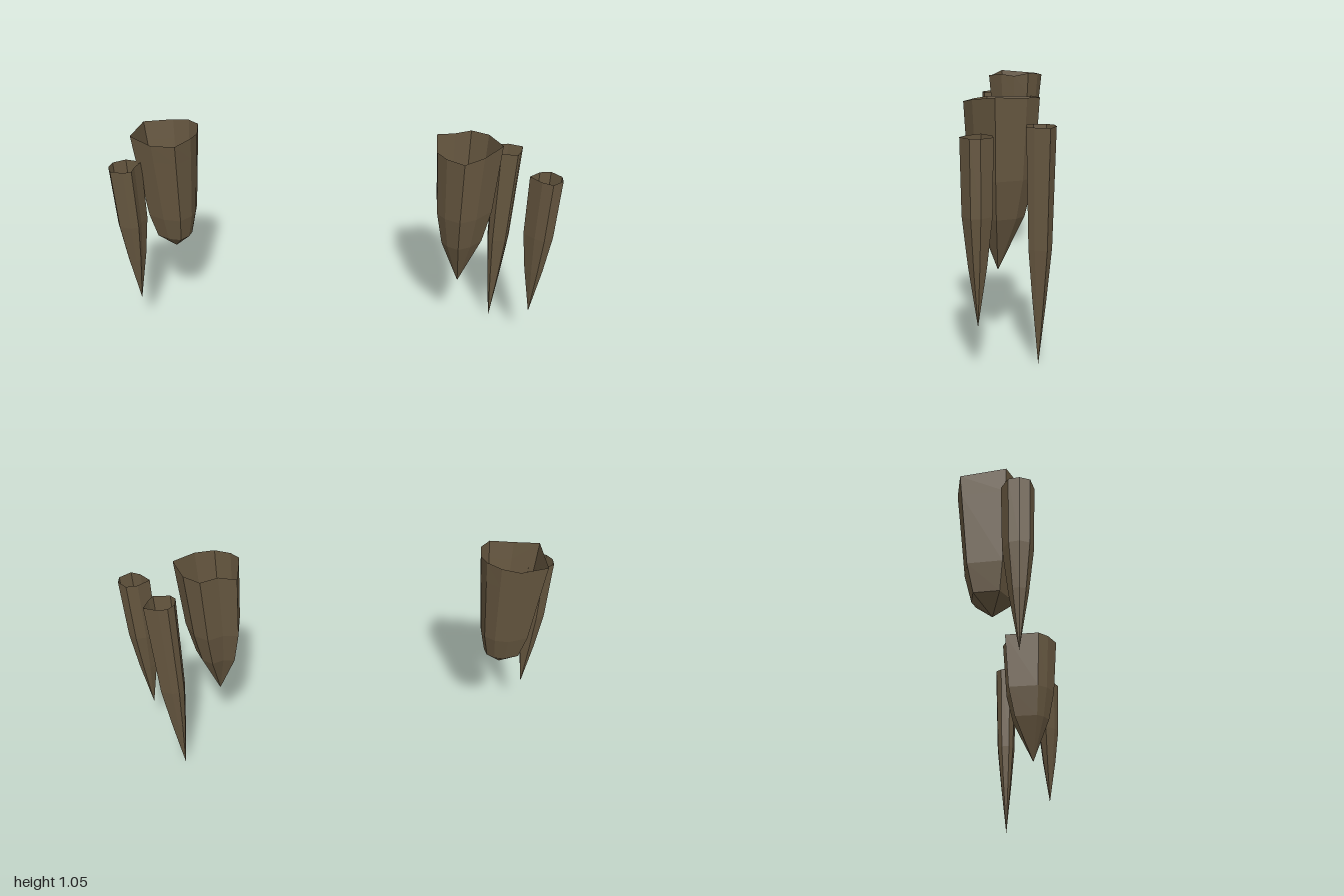
import * as THREE from 'three';

const material = new THREE.MeshStandardMaterial({
  color: 0x65563f, roughness: 1, flatShading: true, side: THREE.DoubleSide,
});

// Hollow spike: a rim outline [x, z, y] shrinks ring by ring [y, scale] towards the tip.
function spike(name, tip, rim, rings) {
  const [tx, ty, tz] = tip;
  const n = rim.length;
  const pos = rim.map(([x, z, y]) => [x, y, z]).flat();
  for (const [y, s] of rings) {
    for (const [x, z] of rim) pos.push(tx + (x - tx) * s, y, tz + (z - tz) * s);
  }
  pos.push(tx, ty, tz);
  const tipIndex = n * (rings.length + 1);
  const index = [];
  for (let r = 0; r <= rings.length; r++) {
    for (let i = 0; i < n; i++) {
      const a = r * n + i, b = r * n + (i + 1) % n;
      if (r === rings.length) index.push(a, b, tipIndex);
      else index.push(a, b, a + n, b, b + n, a + n);
    }
  }
  const geometry = new THREE.BufferGeometry();
  geometry.setAttribute('position', new THREE.Float32BufferAttribute(pos, 3));
  geometry.setIndex(index);
  geometry.computeVertexNormals();
  const mesh = new THREE.Mesh(geometry, material);
  mesh.name = name;
  return mesh;
}

// Level rim at height y from [x, z] offsets around a centre.
const levelRim = (cx, cz, y, offsets) => offsets.map(([x, z]) => [cx + x, cz + z, y]);

export function createModel() {
  const group = new THREE.Group();
  group.name = 'stalactites';

  // Two broad stalactites with ragged rims
  group.add(spike('rightLargeStalactite', [-0.775, 0.445, 0.02], [
    [-0.9, -0.1, 1.04], [-0.77, -0.135, 1.04], [-0.69, -0.115, 1.05],
    [-0.635, -0.065, 1.055], [-0.625, 0.01, 1.04], [-0.635, 0.08, 1.05],
    [-0.69, 0.15, 1.04], [-0.8, 0.14, 1.035], [-0.905, 0.09, 1.055],
  ], [[0.95, 0.94], [0.64, 0.74], [0.52, 0.55]]));

  group.add(spike('leftLargeStalactite', [0.59, 0.33, 0.03], [
    [0.45, -0.105, 1.03], [0.53, -0.1, 1.04], [0.605, -0.138, 1.04],
    [0.68, -0.09, 1.045], [0.735, 0.03, 1.05], [0.65, 0.125, 1.035],
    [0.565, 0.168, 1.02], [0.49, 0.13, 1.025], [0.45, 0.08, 1.03],
  ], [[0.72, 0.87], [0.56, 0.65]]));

  // Three slender stalactites with level rims
  group.add(spike('rightSlenderStalactite', [-0.94, 0.21, 0.145],
    levelRim(-0.94, 0.145, 0.93, [
      [-0.055, -0.035], [-0.005, -0.07], [0.07, -0.055], [0.055, 0],
      [0.055, 0.045], [0.02, 0.06], [-0.04, 0.05], [-0.06, 0.01],
    ]), [[0.64, 0.92], [0.45, 0.58]]));

  group.add(spike('leftBackStalactite', [0.78, 0, -0.14],
    levelRim(0.78, -0.14, 0.95, [
      [-0.06, -0.025], [-0.035, -0.055], [0.005, -0.063], [0.07, -0.04],
      [0.055, 0.02], [0.04, 0.05], [-0.035, 0.05], [-0.06, 0.025],
    ]), [[0.48, 0.8], [0.27, 0.48]]));

  group.add(spike('leftSlenderStalactite', [0.935, 0.21, 0.085],
    levelRim(0.935, 0.085, 0.93, [
      [-0.078, -0.01], [-0.03, -0.055], [0.02, -0.063], [0.062, -0.02],
      [0.062, 0.02], [0.015, 0.06], [-0.03, 0.04],
    ]), [[0.64, 0.92], [0.45, 0.58]]));

  return group;
}
